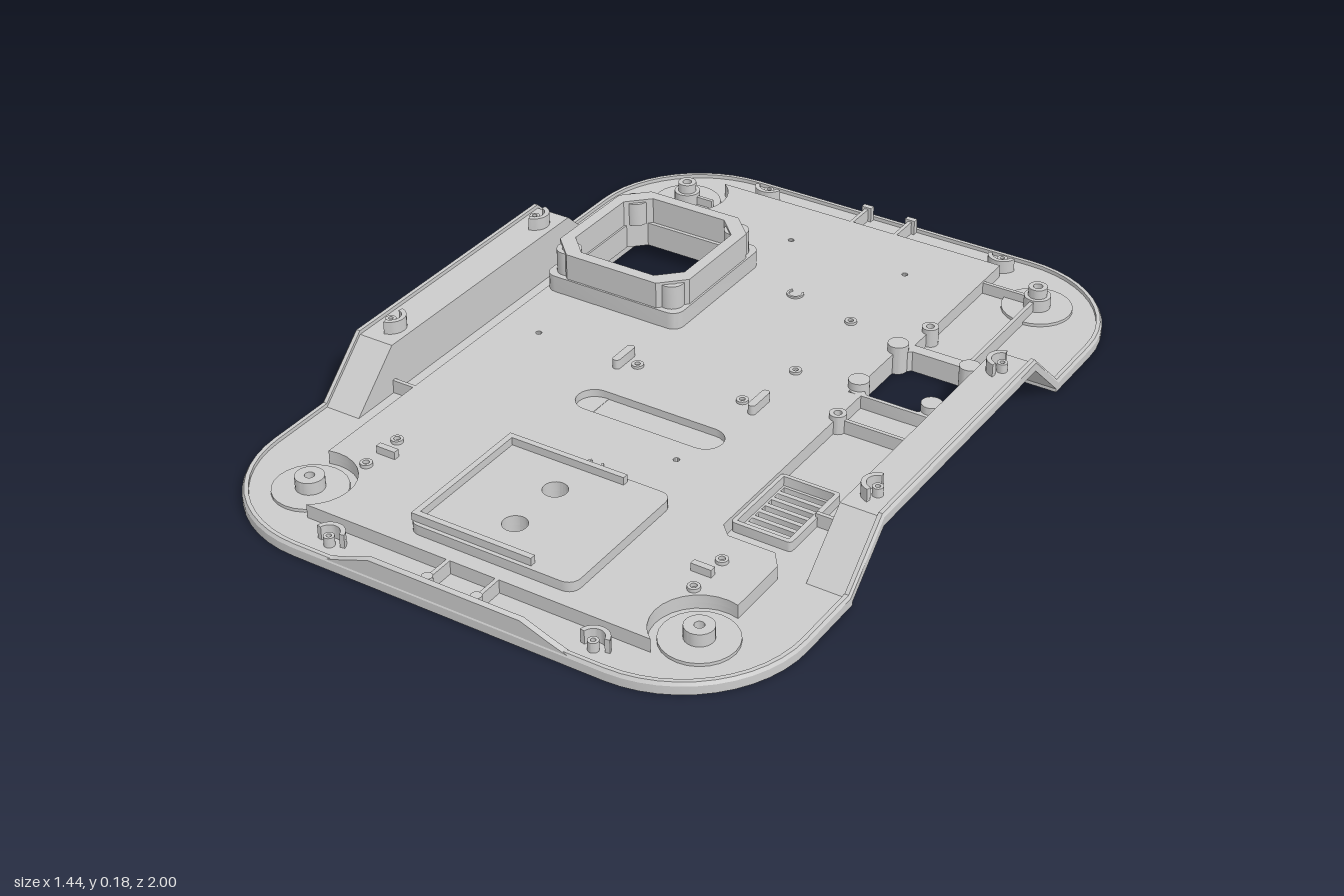
import * as THREE from 'three';
import { toCreasedNormals } from 'three/addons/utils/BufferGeometryUtils.js';

const mat = new THREE.MeshStandardMaterial({ color: 0xcccccc });
const V = (x, z) => new THREE.Vector2(x, z);
const poly = (pts) => new THREE.Shape(pts.map(([x, z]) => V(x, z)));

// Points on an arc in plan (degrees)
function arc(cx, cz, r, a0, a1, n = 12) {
  return Array.from({ length: n + 1 }, (_, i) => {
    const a = THREE.MathUtils.degToRad(a0 + (a1 - a0) * i / n);
    return [cx + r * Math.cos(a), cz + r * Math.sin(a)];
  });
}
const disc = (x, z, r, n = 24) => arc(x, z, r, 0, 360, n).slice(0, -1);
const rect = (x0, x1, z0, z1, r = 0.001) => [
  ...arc(x1 - r, z1 - r, r, 0, 90, 5), ...arc(x0 + r, z1 - r, r, 90, 180, 5),
  ...arc(x0 + r, z0 + r, r, 180, 270, 5), ...arc(x1 - r, z0 + r, r, 270, 360, 5)];
// Rectangle with chamfered corners
const chamfer = (x0, x1, z0, z1, c) => [
  [x1, z0 + c], [x1, z1 - c], [x1 - c, z1], [x0 + c, z1],
  [x0, z1 - c], [x0, z0 + c], [x0 + c, z0], [x1 - c, z0]];

export function createModel() {
  const root = new THREE.Group();
  const add = (name, geo) => {
    const m = new THREE.Mesh(toCreasedNormals(geo, 0.5), mat);
    m.name = name;
    root.add(m);
    return m;
  };
  // Plan outline (x, z) raised from y0 to y1
  const slab = (name, pts, y0, y1, holes = []) => {
    const s = poly(pts);
    s.holes = holes.map((h) => new THREE.Path(h.map(([x, z]) => V(x, z))));
    const g = new THREE.ExtrudeGeometry(s, { depth: y1 - y0, bevelEnabled: false });
    return add(name, g.rotateX(Math.PI / 2).translate(0, y1, 0));
  };
  // Side profile (z, y) swept from x0 to x1
  const profile = (name, pts, x0, x1) => {
    const g = new THREE.ExtrudeGeometry(poly(pts), { depth: x1 - x0, bevelEnabled: false });
    return add(name, g.rotateY(-Math.PI / 2).translate(x1, 0, 0));
  };
  const box = (name, x0, x1, y0, y1, z0, z1) =>
    add(name, new THREE.BoxGeometry(x1 - x0, y1 - y0, z1 - z0)
      .translate((x0 + x1) / 2, (y0 + y1) / 2, (z0 + z1) / 2));
  const post = (name, x, z, r, y0, y1, bore = 0) =>
    slab(name, disc(x, z, r), y0, y1, bore ? [disc(x, z, bore, 16)] : []);

  const F = 0.02, P = 0.055; // floor and deck heights

  // Outer edge, with side points supplied for each long side (from +z to -z on -x)
  const outline = (side) => [
    ...arc(0.41, 0.69, 0.31, 0, 90), ...arc(-0.41, 0.69, 0.31, 90, 180),
    ...side.map(([x, z]) => [-x, z]),
    ...arc(-0.41, -0.69, 0.31, 180, 270), ...arc(0.41, -0.69, 0.31, 270, 360),
    ...side.map(([x, z]) => [x, -z])];

  // Floor with the underside recess and openings
  const recess = [[-0.53, 0.67], [-0.4, 0.67], [-0.4, 0.87], [0.315, 0.87],
    [0.315, -0.87], [-0.4, -0.87], [-0.4, -0.67], [-0.53, -0.67]];
  const port = chamfer(0.345, 0.55, -0.4, -0.17, 0.035);
  const slots = [];
  for (let i = 0; i < 7; i++) slots.push(rect(0.385, 0.505, 0.222 + i * 0.028, 0.238 + i * 0.028));
  const corners = [[1, 1], [1, -1], [-1, 1], [-1, -1]];
  slab('floor', outline([[0.72, 0.5], [0.62, 0.5], [0.62, -0.5], [0.72, -0.5]]), 0, F,
    [recess, port, ...slots, ...corners.map(([a, b]) => disc(a * 0.52, b * 0.8, 0.014, 12))]);

  // Rim lip, climbing over the side arches
  const rise = (x, z) => Math.abs(x) < 0.7 ? 0
    : 0.13 * THREE.MathUtils.clamp((0.51 - Math.abs(z)) / 0.14, 0, 1);
  const edge = outline([[0.72, 0.51], [0.72, 0.37], [0.72, -0.37], [0.72, -0.51]]);
  const section = [[0, 0], [0, 0.022], [0.005, 0.03], [0.015, 0.03], [0.015, 0]];
  const pos = [], idx = [], n = edge.length, k = section.length;
  edge.forEach(([x, z], i) => {
    const cx = THREE.MathUtils.clamp(x, -0.41, 0.41), cz = THREE.MathUtils.clamp(z, -0.69, 0.69);
    const d = Math.hypot(x - cx, z - cz);
    section.forEach(([s, y], j) => {
      pos.push(x - (x - cx) / d * s, y + rise(x, z), z - (z - cz) / d * s);
      const a = i * k + j, b = i * k + (j + 1) % k;
      const c = ((i + 1) % n) * k + j, e = ((i + 1) % n) * k + (j + 1) % k;
      idx.push(a, b, c, b, e, c);
    });
  });
  const lip = new THREE.BufferGeometry();
  lip.setAttribute('position', new THREE.Float32BufferAttribute(pos, 3));
  lip.setIndex(idx);
  add('rimLip', lip);

  // Side arches: raised ledge, inner wall and locating tabs
  const ledge = [[0.51, 0], [0.37, 0.13], [-0.37, 0.13], [-0.51, 0],
    [-0.51, F], [-0.37, 0.15], [0.37, 0.15], [0.51, F]];
  const archWall = [[0.51, 0], [0.51, F], [0.37, 0.15], [-0.37, 0.15], [-0.51, F], [-0.51, 0]];
  // Half-ring clip with a small peg; a = facing angle
  const clip = (x, z, y0, y1, a) => {
    slab('clip', [...arc(x, z, 0.038, a - 80, a + 80), ...arc(x, z, 0.026, a + 80, a - 80)], y0, y1);
    post('clipPeg', x, z, 0.013, y0, y1 - 0.01, 0.006);
  };
  for (const s of [1, -1]) {
    const [a, b] = s > 0 ? [0.62, 0.715] : [-0.715, -0.62];
    profile('sideLedge', ledge, a, b);
    profile('sideArchWall', archWall, s > 0 ? 0.61 : -0.625, s > 0 ? 0.625 : -0.61);
    for (const z of [0.3, -0.3]) clip(s * 0.665, z, 0.15, 0.183, s > 0 ? 180 : 0);
    for (const e of [1, -1]) clip(s * 0.35, e * 0.945, F, 0.055, e > 0 ? -90 : 90);
  }

  // Raised deck, scooped around the corner feet
  const scoop = arc(-0.52, 0.8, 0.11, -106, 55);
  const deck = [...scoop, ...scoop.map(([x, z]) => [-x, z]).reverse(),
    [0.55, 0.53], [0.52, 0.49], [0.4, 0.49], [0.37, 0.46],
    [0.37, -0.16], [0.335, -0.16], [0.335, -0.43], [0.37, -0.43], [0.37, -0.89],
    ...scoop.map(([x, z]) => [x, -z]).reverse()];
  const window_ = chamfer(-0.51, -0.2, -0.53, -0.22, 0.04);
  const stadium = (r) => [...arc(0.155, 0.19, r, -90, 90), ...arc(-0.155, 0.19, r, 90, 270)];
  const padHoles = [disc(0, 0.575, 0.03), disc(0, 0.73, 0.03)];
  const pinholes = [[-0.15, -0.72], [0.185, -0.72], [-0.44, 0.01], [0.145, 0.3]]
    .map(([x, z]) => disc(x, z, 0.008, 10));
  slab('deckWall', deck, F, 0.035, [recess]);
  slab('deck', deck, 0.035, P, [window_, stadium(0.045), ...padHoles, ...pinholes]);
  slab('ovalRecess', stadium(0.055), 0.022, 0.035);

  // Stiffening ribs under the deck
  for (const z of [-0.72, -0.44, -0.17, 0.01, 0.3])
    box('underRib', z === -0.44 ? -0.16 : -0.53, 0.315, 0.012, 0.036, z - 0.006, z + 0.006);
  for (const [x, z0] of [[-0.35, -0.17], [-0.15, -0.87], [0.185, -0.87]])
    box('underRib', x - 0.006, x + 0.006, 0.012, 0.036, z0, 0.87);
  for (const z of [0.575, 0.73]) {
    post('underBoss', 0, z, 0.045, 0.005, 0.036, 0.03);
    box('underRib', -0.15, -0.04, 0.012, 0.036, z - 0.006, z + 0.006);
    box('underRib', 0.04, 0.185, 0.012, 0.036, z - 0.006, z + 0.006);
  }

  // Tall square housing around the large opening
  slab('housingBase', rect(-0.55, -0.155, -0.575, -0.175, 0.03), P, 0.1, [window_]);
  slab('housingWall', chamfer(-0.545, -0.16, -0.57, -0.18, 0.06), 0.1, 0.17,
    [chamfer(-0.515, -0.19, -0.54, -0.21, 0.055)]);
  for (const x of [-0.505, -0.2]) for (const z of [-0.527, -0.222])
    post('housingBoss', x, z, 0.032, 0.1, 0.163, 0.018);

  // Small opening with its frame and posts
  slab('portFrame', rect(0.325, 0.58, -0.43, -0.16, 0.03), F, P, [port]);
  for (const x of [0.345, 0.54]) for (const z of [-0.39, -0.195])
    post('portPost', x, z, 0.026, 0, 0.075);

  // Vent with a low frame
  slab('ventFrame', rect(0.37, 0.525, 0.205, 0.43, 0.01), F, 0.045, [rect(0.38, 0.512, 0.215, 0.418)]);

  // Raised pad with a U-shaped rail
  slab('pad', rect(-0.205, 0.235, 0.455, 0.85, 0.03), P, 0.08, padHoles);
  slab('padRail', [[0.12, 0.465], [0.12, 0.48], [-0.185, 0.48], [-0.185, 0.825],
    [0.12, 0.825], [0.12, 0.84], [-0.2, 0.84], [-0.2, 0.465]], 0.08, 0.1);

  // Corner feet
  for (const [a, b] of corners) {
    const x = a * 0.52, z = b * 0.8;
    post('footDisc', x, z, 0.09, F, 0.028, 0.014);
    if (b > 0) post('footBoss', x, z, 0.035, 0.028, 0.06, 0.012);
    else {
      post('footBoss', x, z, 0.034, 0.028, 0.06, 0.012);
      post('footCollar', x, z, 0.024, 0.06, 0.085, 0.012);
      box('footRib', x - (a > 0 ? 0.15 : -0.03), x + (a > 0 ? -0.03 : 0.08), F, 0.05, z - 0.005, z + 0.005);
    }
    // Studs and locating bars
    if (b > 0) {
      for (const sz of [0.58, 0.695]) post('stud', a * 0.44, sz, 0.015, P, 0.064, 0.008);
      box('locatingBar', a * 0.425 - 0.026, a * 0.425 + 0.026, P, 0.075, 0.627, 0.643);
    }
  }

  // Ribs between the deck and the rim
  box('channelRib', 0.515, 0.525, F, P, -0.77, -0.43);
  box('channelRib', 0.37, 0.615, F, P, -0.055, -0.045);
  box('channelRib', 0.52, 0.615, F, P, 0.305, 0.315);
  for (const z of [-0.37, 0.37]) box('channelRib', -0.615, -0.55, F, P, z - 0.005, z + 0.005);
  for (const x of [-0.065, 0.065]) {
    box('endRib', x - 0.005, x + 0.005, F, P, -0.98, -0.89);
    box('endTab', x - 0.014, x + 0.014, F, 0.06, -0.985, -0.97);
    box('endRib', x - 0.005, x + 0.005, F, P, 0.89, 0.98);
    post('endTab', x, 0.965, 0.013, F, 0.06);
  }

  // Arched front wall
  const front = poly([[-0.33, 0], [0.33, 0], [0.33, 0.022], [0.27, 0.042], [0.2, 0.068],
    [-0.2, 0.068], [-0.27, 0.042], [-0.33, 0.022]]);
  add('frontArchWall', new THREE.ExtrudeGeometry(front, { depth: 0.016, bevelEnabled: false })
    .translate(0, 0, 0.982));

  // Small deck details
  for (const [x, z] of [[0.185, -0.44], [0.185, -0.17], [-0.15, 0.01], [0.145, 0.01]])
    post('deckStud', x, z, 0.015, P, 0.062, 0.007);
  for (const z of [-0.51, -0.05]) post('edgePost', 0.37, z, 0.021, F, 0.068, 0.01);
  for (const x of [-0.19, 0.19]) slab('deckBar', rect(x - 0.01, x + 0.01, -0.03, 0.05, 0.009), P, 0.08);
  for (const z of [-0.485, 0.42])
    slab('deckHook', [...arc(0, z, 0.022, -40, 220), ...arc(0, z, 0.016, 220, -40)], P, 0.06);

  return root;
}
